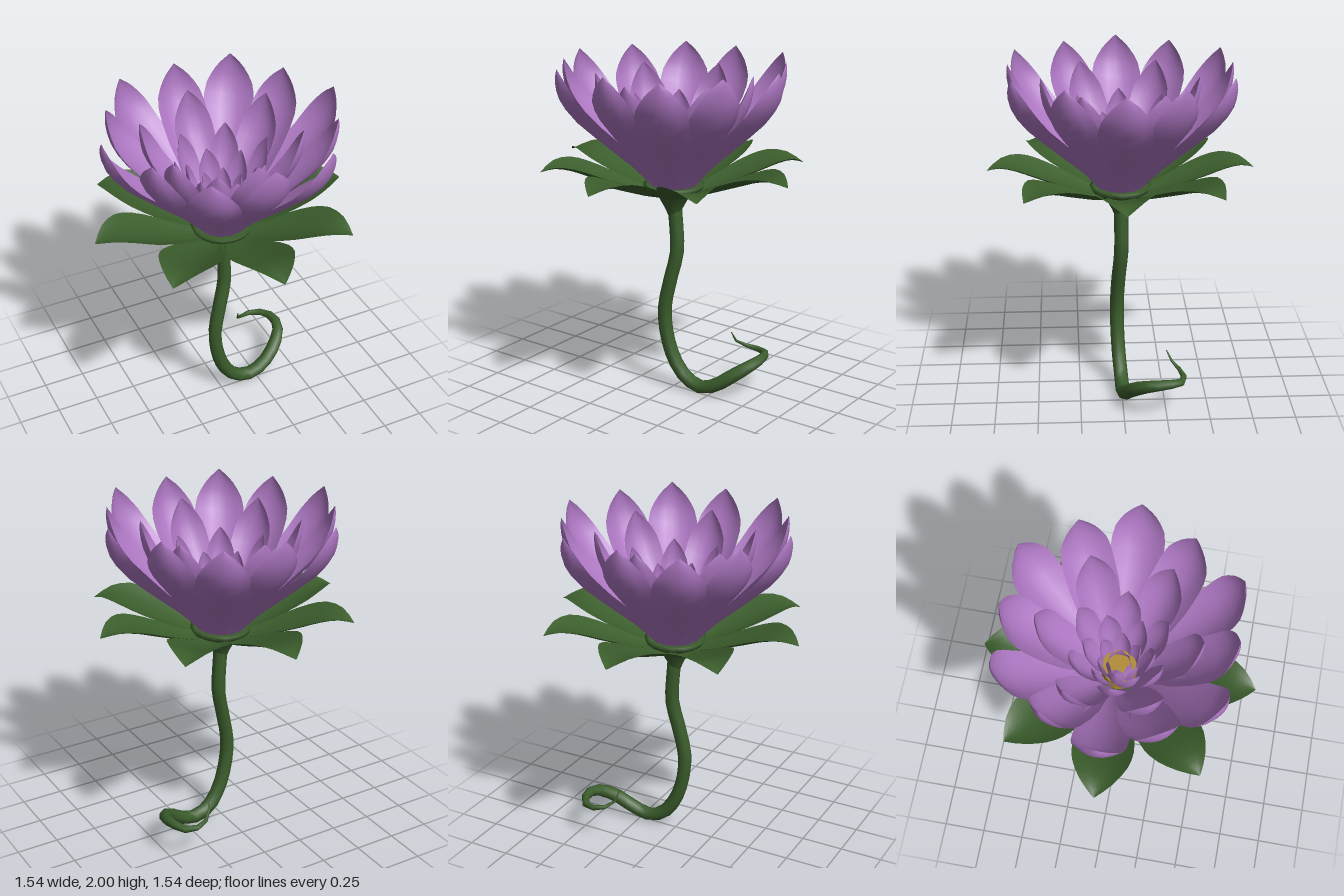
import * as THREE from 'three';

const V3 = (x, y, z) => new THREE.Vector3(x, y, z);

function material(name, color, side = THREE.FrontSide) {
  const m = new THREE.MeshStandardMaterial({ color, side });
  m.name = name;
  return m;
}

// Cupped blade growing along +x; each profile point is [radius, height, half width]
function bladeGeometry(profile, cup, rows = 12, cols = 6) {
  const curve = new THREE.CatmullRomCurve3(profile.map((p) => V3(...p)));
  const widest = Math.max(...profile.map((p) => p[2]));
  const position = [], index = [];
  for (let i = 0; i <= rows; i++) {
    const p = curve.getPoint(i / rows), t = curve.getTangent(i / rows);
    const len = Math.hypot(t.x, t.y) || 1;
    const w = Math.max(p.z, 0.003);
    for (let j = 0; j <= cols; j++) {
      const v = (j / cols) * 2 - 1;
      const lift = cup * v * v * Math.min(1, w / widest);
      position.push(p.x - (t.y / len) * lift, p.y + (t.x / len) * lift, v * w);
      if (i < rows && j < cols) {
        const a = i * (cols + 1) + j, b = a + cols + 1;
        index.push(a, a + 1, b, b, a + 1, b + 1);
      }
    }
  }
  const g = new THREE.BufferGeometry();
  g.setAttribute('position', new THREE.Float32BufferAttribute(position, 3));
  g.setIndex(index);
  g.computeVertexNormals();
  return g;
}

// Petal: leans outward, then turns upright at the tip
function petalGeometry(baseR, tipR, tipY, halfWidth, cup) {
  const baseY = 1.26;
  const shape = [
    [0, 0, 0.32], [0.2, 0.17, 0.55], [0.5, 0.375, 0.92], [0.82, 0.6, 1],
    [0.955, 0.75, 0.92], [1, 0.87, 0.64], [1.005, 0.95, 0.32], [0.995, 1, 0],
  ];
  return bladeGeometry(shape.map(([r, y, w]) => [
    baseR + r * (tipR - baseR), baseY + y * (tipY - baseY), w * halfWidth,
  ]), cup);
}

// Ring of equal blades around the vertical axis
function ring(name, geometry, mat, count, startDegrees) {
  const group = new THREE.Group();
  group.name = name;
  for (let k = 0; k < count; k++) {
    const mesh = new THREE.Mesh(geometry, mat);
    mesh.name = name + 'Blade';
    mesh.rotation.y = THREE.MathUtils.degToRad(startDegrees) + (k / count) * Math.PI * 2;
    group.add(mesh);
  }
  return group;
}

// Tube that narrows along its length
function stemGeometry(points, radiusAt) {
  const curve = new THREE.CatmullRomCurve3(points.map((p) => V3(...p)));
  const segments = 30, sides = 8;
  const g = new THREE.TubeGeometry(curve, segments, 1, sides);
  const pos = g.attributes.position, v = V3();
  for (let i = 0; i <= segments; i++) {
    const c = curve.getPointAt(i / segments), r = radiusAt(i / segments);
    for (let j = 0; j <= sides; j++) {
      const n = i * (sides + 1) + j;
      v.fromBufferAttribute(pos, n).sub(c).multiplyScalar(r).add(c);
      pos.setXYZ(n, v.x, v.y, v.z);
    }
  }
  return g;
}

export function createModel() {
  const model = new THREE.Group();
  model.name = 'flower';
  const purple = material('petalPurple', 0xac76c1, THREE.DoubleSide);
  const green = material('leafGreen', 0x3b5d2c, THREE.DoubleSide);
  const gold = material('centreGold', 0xb08c34);

  // Petal rings: [name, base radius, tip radius, tip height, half width, cup, start angle]
  const rings = [
    ['outerPetals', 0.12, 0.7, 2.0, 0.148, 0.055, 0],
    ['secondPetals', 0.12, 0.635, 2.0, 0.145, 0.055, 30],
    ['middlePetals', 0.11, 0.452, 1.92, 0.118, 0.055, 30],
    ['innerPetals', 0.1, 0.285, 1.78, 0.082, 0.04, 0],
    ['smallPetals', 0.09, 0.2, 1.67, 0.068, 0.035, 30],
    ['heartPetals', 0.085, 0.125, 1.58, 0.05, 0.03, 0],
    ['budPetals', 0.1, 0.06, 1.48, 0.036, 0.005, 0],
  ];
  for (const [name, baseR, tipR, tipY, w, cup, start] of rings) {
    model.add(ring(name, petalGeometry(baseR, tipR, tipY, w, cup), purple, 6, start));
  }

  // Sepals spread almost flat below the petals
  const sepal = bladeGeometry([
    [0.06, 1.22, 0.05], [0.2, 1.245, 0.09], [0.36, 1.3, 0.145], [0.5, 1.352, 0.17],
    [0.6, 1.388, 0.153], [0.69, 1.4, 0.092], [0.77, 1.378, 0],
  ], 0.045);
  model.add(ring('sepals', sepal, green, 8, 0));

  // Cup joining the stem and the petals
  const cup = new THREE.Mesh(new THREE.LatheGeometry([
    [0.03, 1.08], [0.05, 1.13], [0.088, 1.2], [0.11, 1.218],
    [0.165, 1.25], [0.18, 1.28], [0.155, 1.28], [0, 1.27],
  ].map((p) => new THREE.Vector2(...p)), 16), green);
  cup.name = 'flowerCup';
  model.add(cup);

  // Golden heart
  const heart = new THREE.Mesh(new THREE.CylinderGeometry(0.1, 0.1, 0.1, 16), gold);
  heart.name = 'goldenHeart';
  heart.position.y = 1.33;
  model.add(heart);

  // Stem with a curled, tapering end
  const stem = new THREE.Mesh(stemGeometry([
    [0, 1.22, 0], [0.01, 1.08, -0.003], [0.02, 0.87, -0.003], [-0.02, 0.68, 0.012],
    [-0.053, 0.5, 0.02], [-0.035, 0.32, 0.018], [0.02, 0.17, 0.01], [0.1, 0.075, 0],
    [0.2, 0.044, -0.003], [0.3, 0.08, -0.015], [0.4, 0.155, -0.06], [0.475, 0.212, -0.15],
    [0.482, 0.225, -0.25], [0.43, 0.215, -0.34], [0.34, 0.222, -0.35],
    [0.265, 0.25, -0.3], [0.242, 0.325, -0.26],
  ], (t) => (t < 0.72 ? 0.042 : 0.042 - 0.039 * ((t - 0.72) / 0.28))), green);
  stem.name = 'stem';
  model.add(stem);

  return model;
}
